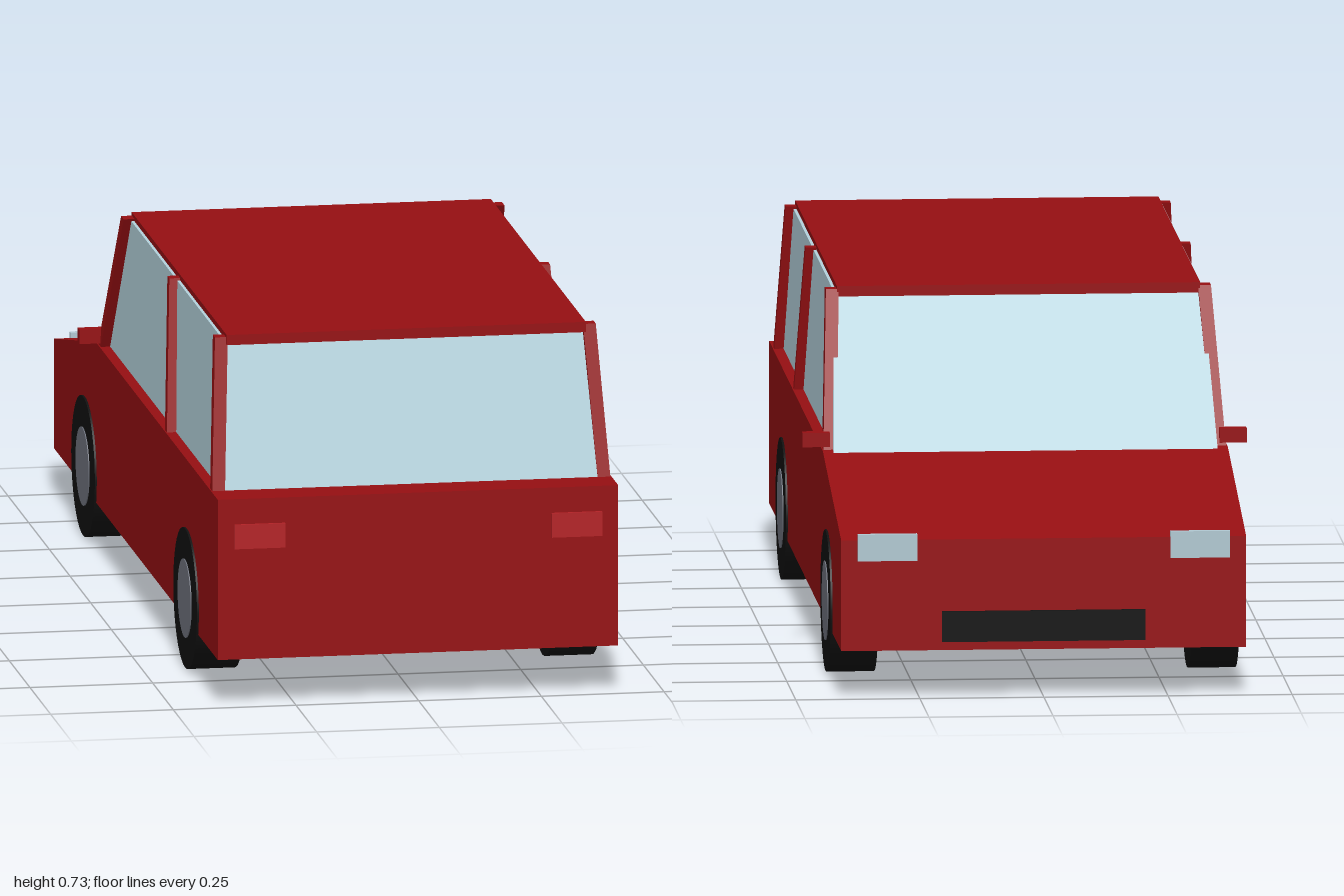
import * as THREE from 'three';

const paint = (name, color, extra = {}) => Object.assign(new THREE.MeshStandardMaterial({ color, ...extra }), { name });

// Box whose bottom and top rectangles [x0, x1, z0, z1] differ
function taper(y0, bottom, y1, top) {
  const g = new THREE.BoxGeometry(1, 1, 1);
  const p = g.attributes.position;
  for (let i = 0; i < p.count; i++) {
    const up = p.getY(i) > 0, r = up ? top : bottom;
    p.setXYZ(i, p.getX(i) > 0 ? r[1] : r[0], up ? y1 : y0, p.getZ(i) > 0 ? r[3] : r[2]);
  }
  g.computeVertexNormals();
  return g;
}

export function createModel() {
  const red = paint('body red', 0x960f12);
  const glass = paint('glass blue', 0xb4d2dc);
  const black = paint('tyre black', 0x111111);
  const grey = paint('rim grey', 0x70747f);
  const lamp = paint('headlight', 0xb0c8d2);
  const tail = paint('tail light red', 0xb42226);

  const car = new THREE.Group();
  car.name = 'car';
  const add = (name, geometry, material, x = 0, y = 0, z = 0) => {
    const m = new THREE.Mesh(geometry, material);
    m.name = name;
    m.position.set(x, y, z);
    car.add(m);
    return m;
  };
  const box = (name, material, w, h, d, x, y, z) => add(name, new THREE.BoxGeometry(w, h, d), material, x, y, z);

  // Lower body: side profile with sloping bonnet, swept across the width
  const profile = new THREE.Shape([
    [-0.992, 0.097], [0.993, 0.097], [0.993, 0.322], [0.485, 0.427], [-0.992, 0.427],
  ].map(([a, b]) => new THREE.Vector2(a, b)));
  const body = new THREE.ExtrudeGeometry(profile, { depth: 0.816, bevelEnabled: false });
  body.translate(0, 0, -0.408).rotateY(Math.PI / 2);
  add('body', body, red);

  // Glasshouse and roof
  add('windows', taper(0.42, [-0.387, 0.387, -0.5, 0.912], 0.722, [-0.372, 0.372, -0.282, 0.828]), glass);
  box('roof', red, 0.732, 0.021, 1.15, 0, 0.723, 0.275);

  for (const s of [1, -1]) {
    // Pillars: [z at the sill, z at the roof, half thickness]
    for (const [name, zb, zt, t] of [
      ['frontPillar', -0.458, -0.281, 0.016],
      ['middlePillar', 0.352, 0.275, 0.012],
      ['rearPillar', 0.9, 0.826, 0.013],
    ]) {
      const [b, c] = [0.393 * s, 0.375 * s];
      add(name, taper(0.42, [b - 0.013, b + 0.013, zb - t, zb + t], 0.727, [c - 0.013, c + 0.013, zt - t, zt + t]), red);
    }

    box('mirror', red, 0.055, 0.029, 0.024, 0.42 * s, 0.447, -0.458);
    box('headlight', lamp, 0.12, 0.054, 0.014, 0.315 * s, 0.307, -0.993);
    box('tailLight', tail, 0.103, 0.05, 0.014, 0.323 * s, 0.35, 0.991);

    // Wheels with rims standing slightly proud on both faces
    for (const z of [0.62, -0.615]) {
      add('tyre', new THREE.CylinderGeometry(0.143, 0.143, 0.096, 40), black, 0.364 * s, 0.143, z).rotation.z = Math.PI / 2;
      add('rim', new THREE.CylinderGeometry(0.08, 0.08, 0.102, 40), grey, 0.363 * s, 0.143, z).rotation.z = Math.PI / 2;
    }
  }

  box('grille', black, 0.41, 0.062, 0.014, 0, 0.145, -0.993);
  return car;
}
